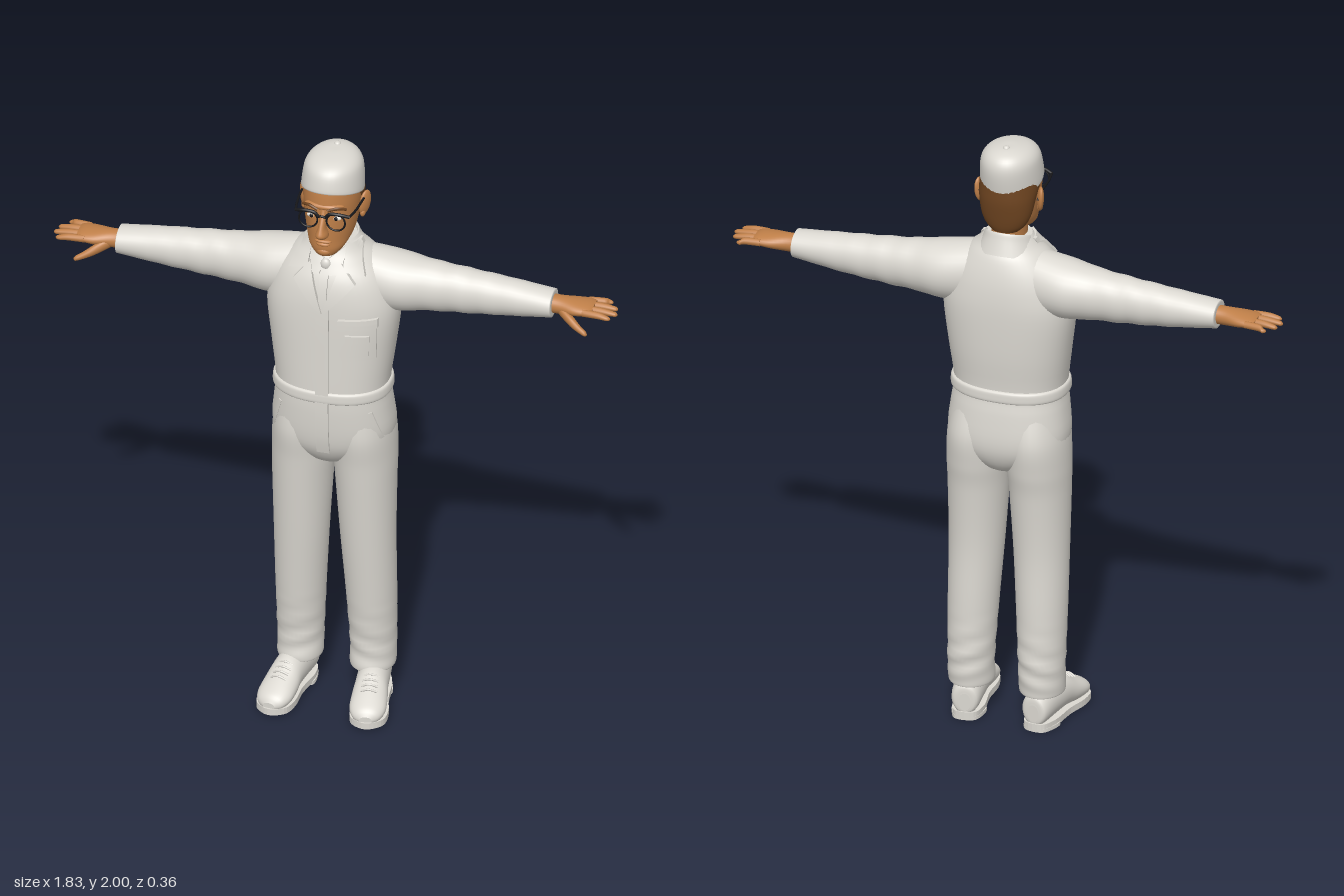
import * as THREE from 'three';

const paint = (name, color) => Object.assign(new THREE.MeshStandardMaterial({ color }), { name });

// Smooth (Catmull-Rom) resampling of rings [w, centreU, centreV, radiusU, radiusV, exponent]
function resample(rings, steps) {
  const out = [], at = i => rings[Math.min(Math.max(i, 0), rings.length - 1)];
  for (let i = 0; i < rings.length - 1; i++) {
    for (let s = 0; s < steps; s++) {
      const t = s / steps, [a, b, c, d] = [at(i - 1), at(i), at(i + 1), at(i + 2)];
      out.push(b.map((p, k) => 0.5 * (2 * p + (c[k] - a[k]) * t + (2 * a[k] - 5 * p + 4 * c[k] - d[k]) * t * t
        + (3 * p - a[k] - 3 * c[k] + d[k]) * t * t * t)));
    }
  }
  out.push(rings[rings.length - 1]);
  return out;
}

// Closed body through superellipse rings along an axis, with flat ends and an optional bending rule
function loft(rings, axis = 'y', { steps = 4, seg = 32, rule } = {}) {
  const full = resample(rings.map(r => [...r.slice(0, 5), r[5] ?? 2]), steps);
  const pos = [], idx = [];
  const put = (w, u, v) => {
    const p = axis === 'y' ? [u, w, v] : axis === 'x' ? [w, v, u] : [v, u, w];
    const q = new THREE.Vector3(...p);
    if (rule) rule(q);
    pos.push(q.x, q.y, q.z);
  };
  const ring = ([w, cu, cv, ru, rv, n]) => {
    for (let j = 0; j < seg; j++) {
      const c = Math.cos(j / seg * 2 * Math.PI), s = Math.sin(j / seg * 2 * Math.PI);
      put(w, cu + ru * Math.sign(c) * Math.abs(c) ** (2 / n), cv + rv * Math.sign(s) * Math.abs(s) ** (2 / n));
    }
  };
  full.forEach(ring);
  for (let i = 0; i < full.length - 1; i++) for (let j = 0; j < seg; j++) {
    const a = i * seg + j, b = i * seg + (j + 1) % seg;
    idx.push(a, a + seg, b, b, a + seg, b + seg);
  }
  for (const [r, end] of [[full[0], false], [full[full.length - 1], true]]) {
    const base = pos.length / 3;
    ring(r);
    put(r[0], r[1], r[2]);
    for (let j = 0; j < seg; j++) {
      const a = base + j, b = base + (j + 1) % seg;
      idx.push(base + seg, end ? b : a, end ? a : b);
    }
  }
  const g = new THREE.BufferGeometry();
  g.setAttribute('position', new THREE.Float32BufferAttribute(pos, 3));
  g.setIndex(idx);
  g.computeVertexNormals();
  return g;
}

function mirrored(geo) {
  const g = geo.clone().scale(-1, 1, 1);
  const ix = g.index.array;
  for (let i = 0; i < ix.length; i += 3) [ix[i], ix[i + 1]] = [ix[i + 1], ix[i]];
  return g;
}

const TORSO = [
  [0.87, 0, -0.035, 0.04, 0.05, 2], [0.9, 0, -0.035, 0.11, 0.1, 2], [0.95, 0, -0.033, 0.178, 0.132, 2.2],
  [1.01, 0, -0.03, 0.196, 0.144, 2.3], [1.1, 0, -0.022, 0.188, 0.143, 2.3], [1.17, 0, -0.017, 0.181, 0.138, 2.3],
  [1.3, 0, -0.024, 0.197, 0.143, 2.3], [1.44, 0, -0.028, 0.213, 0.144, 2.3], [1.52, 0, -0.029, 0.202, 0.139, 2.2],
  [1.58, 0, -0.031, 0.177, 0.126, 2.1], [1.63, 0, -0.036, 0.135, 0.104, 2], [1.66, 0, -0.036, 0.1, 0.085, 2],
  [1.69, 0, -0.036, 0.074, 0.07, 2],
];
const torsoFine = resample(TORSO, 6);

// Depth of the torso's front surface at x, y
function chest(x, y) {
  let i = torsoFine.findIndex(r => r[0] >= y);
  i = i < 1 ? torsoFine.length - 1 : i;
  const a = torsoFine[i - 1], b = torsoFine[i], t = THREE.MathUtils.clamp((y - a[0]) / (b[0] - a[0]), 0, 1);
  const [, , cz, rx, rz, n] = a.map((p, k) => p + (b[k] - p) * t);
  return cz + rz * Math.max(0, 1 - Math.abs(x / rx) ** n) ** (1 / n);
}

// Cloth panel laid on the chest; corners run bottom left, bottom right, top right, top left
function panel([a, b, c, d], thick) {
  const g = new THREE.BoxGeometry(1, 1, 1, 10, 16, 1), p = g.attributes.position;
  for (let i = 0; i < p.count; i++) {
    const u = p.getX(i) + 0.5, v = p.getY(i) + 0.5;
    const mix = k => (a[k] * (1 - u) + b[k] * u) * (1 - v) + (d[k] * (1 - u) + c[k] * u) * v;
    const x = mix(0), y = mix(1);
    p.setXYZ(i, x, y, chest(x, y) + (p.getZ(i) > 0 ? thick : -0.006));
  }
  g.computeVertexNormals();
  return g;
}
const rect = (x0, y0, x1, y1) => [[x0, y0], [x1, y0], [x1, y1], [x0, y1]];
const ball = (x, y, z, rx, ry, rz) => new THREE.SphereGeometry(1, 24, 16).scale(rx, ry, rz).translate(x, y, z);
const tube = (pts, r) => new THREE.TubeGeometry(
  new THREE.CatmullRomCurve3(pts.map(p => new THREE.Vector3(...p))), 16, r, 8);

export function createModel() {
  const model = new THREE.Group();
  const cloth = paint('off-white cloth', 0xdbd8d1), skin = paint('skin', 0xbf7f48);
  const hairColor = paint('brown hair', 0x6e4420), black = paint('black frame', 0x17171a), white = paint('eye white', 0xe8e2da);
  const add = (name, geo, mat) => {
    const m = new THREE.Mesh(geo, mat);
    m.name = name;
    model.add(m);
  };
  const both = (name, geo, mat) => { add(name + 'Left', geo, mat); add(name + 'Right', mirrored(geo), mat); };

  // Coverall body, waistband, legs and sleeves
  add('torso', loft(TORSO, 'y', { seg: 48 }), cloth);
  add('waistband', loft([[1.143, 0, -0.018, 0.18, 0.136, 2.3], [1.148, 0, -0.018, 0.19, 0.146, 2.3],
    [1.165, 0, -0.018, 0.191, 0.147, 2.3], [1.18, 0, -0.018, 0.188, 0.145, 2.3], [1.185, 0, -0.018, 0.178, 0.136, 2.3]],
  'y', { seg: 48 }), cloth);
  both('trouserLeg', loft([
    [0.115, 0.118, -0.055, 0.068, 0.078], [0.125, 0.118, -0.055, 0.073, 0.081], [0.2, 0.118, -0.06, 0.074, 0.08],
    [0.4, 0.114, -0.048, 0.081, 0.088], [0.6, 0.108, -0.035, 0.088, 0.096], [0.8, 0.103, -0.032, 0.096, 0.113],
    [0.9, 0.1, -0.035, 0.1, 0.126], [1, 0.098, -0.033, 0.097, 0.136], [1.1, 0.09, -0.025, 0.088, 0.12]],
  'y', { steps: 8, rule: p => {
    const fold = Math.max(0, 1 - Math.abs(p.y - 0.24) / 0.12);
    p.z += 0.006 * fold * Math.sin(p.y * 90 + p.x * 25);
  } }), cloth);
  both('sleeve', loft([
    [0.08, -0.045, 1.545, 0.085, 0.105], [0.2, -0.05, 1.533, 0.096, 0.098], [0.3, -0.053, 1.53, 0.077, 0.085],
    [0.4, -0.055, 1.528, 0.066, 0.077], [0.55, -0.055, 1.528, 0.059, 0.063], [0.69, -0.052, 1.53, 0.054, 0.046],
    [0.705, -0.052, 1.53, 0.052, 0.044], [0.708, -0.052, 1.53, 0.046, 0.038]], 'x', { steps: 6, rule: p => {
    p.y += 0.002 * Math.max(0, 1 - Math.abs(p.x - 0.42) / 0.25) * Math.sin(p.x * 70 + p.z * 30);
  } }), cloth);

  // Front fastening, lapels, shirt and tie
  add('placket', panel(rect(-0.02, 0.955, 0.022, 1.49), 0.007), cloth);
  add('tie', panel([[-0.012, 1.48], [0.012, 1.48], [0.014, 1.63], [-0.014, 1.63]], 0.007), cloth);
  add('tieKnot', ball(0, 1.628, chest(0, 1.628) + 0.004, 0.017, 0.02, 0.012), cloth);
  both('shirtCollar', panel([[0.016, 1.6], [0.05, 1.605], [0.06, 1.685], [0.008, 1.645]], 0.01), cloth);
  both('lapel', panel([[0, 1.475], [0.012, 1.48], [0.1, 1.575], [0.05, 1.635]], 0.014), cloth);
  both('collarWing', panel([[0.058, 1.615], [0.125, 1.595], [0.09, 1.68], [0.055, 1.685]], 0.014), cloth);
  add('collarStand', loft([[1.61, 0, -0.04, 0.11, 0.095], [1.66, 0, -0.036, 0.086, 0.082], [1.685, 0, -0.035, 0.076, 0.075],
    [1.685, 0, -0.035, 0.07, 0.069], [1.65, 0, -0.035, 0.062, 0.062]], 'y', { rule: p => { p.y -= (p.z + 0.035) * 0.36; } }), cloth);

  // Breast pocket with flap and pen slot, slanted hip pockets
  add('breastPocket', panel(rect(0.057, 1.31, 0.165, 1.45), 0.007), cloth);
  add('pocketFlap', panel([[0.052, 1.425], [0.17, 1.425], [0.17, 1.457], [0.052, 1.457]], 0.012), cloth);
  add('penPocket', panel(rect(0.078, 1.325, 0.145, 1.4), 0.011), cloth);
  add('penPocketFlap', panel([[0.075, 1.385], [0.148, 1.378], [0.148, 1.4], [0.075, 1.405]], 0.015), cloth);
  both('hipPocketWelt', panel([[0.172, 1], [0.181, 1.003], [0.151, 1.11], [0.141, 1.108]], 0.005), cloth);

  // Hands
  both('palm', loft([[0.68, -0.052, 1.53, 0.032, 0.03], [0.73, -0.052, 1.529, 0.034, 0.029], [0.78, -0.053, 1.53, 0.047, 0.024],
    [0.82, -0.055, 1.532, 0.049, 0.018], [0.838, -0.055, 1.532, 0.044, 0.012]], 'x'), skin);
  [[-0.095, -0.108, 0.885], [-0.068, -0.073, 0.91], [-0.041, -0.041, 0.917], [-0.015, -0.01, 0.902]].forEach(([z0, z1, tip], i) => {
    const mid = (z0 + z1) / 2;
    both('finger' + (i + 1), loft([[0.81, z0, 1.532, 0.011, 0.012], [0.86, mid, 1.532, 0.011, 0.011],
      [tip - 0.012, z1, 1.528, 0.009, 0.008], [tip - 0.003, z1, 1.527, 0.005, 0.005], [tip, z1, 1.527, 0.001, 0.001]],
    'x', { seg: 12 }), skin);
  });
  both('thumb', loft([[0.73, -0.035, 1.522, 0.014, 0.018], [0.775, -0.006, 1.503, 0.018, 0.018], [0.81, 0.014, 1.487, 0.012, 0.012],
    [0.828, 0.021, 1.48, 0.009, 0.009], [0.835, 0.023, 1.478, 0.002, 0.002]], 'x', { seg: 14 }), skin);

  // Shoes, turned slightly outwards
  const foot = g => g.rotateY(0.14).translate(0.133, 0, 0);
  const outline = pts => new THREE.Shape(new THREE.CatmullRomCurve3(
    pts.map(([x, z]) => new THREE.Vector3(x, -z, 0)), true).getPoints(48).map(p => new THREE.Vector2(p.x, p.y)));
  const slab = (pts, y, h) => foot(new THREE.ExtrudeGeometry(outline(pts), { depth: h, bevelEnabled: false })
    .rotateX(-Math.PI / 2).translate(0, y, 0));
  const indexed = g => { g.setIndex([...Array(g.attributes.position.count).keys()]); return g; };
  both('shoeUpper', foot(loft([
    [-0.132, 0.06, 0, 0.03, 0.02], [-0.12, 0.07, 0, 0.054, 0.044], [-0.04, 0.08, 0, 0.063, 0.05], [0.03, 0.076, 0, 0.058, 0.052],
    [0.08, 0.06, 0, 0.047, 0.057], [0.13, 0.048, 0, 0.035, 0.057], [0.162, 0.04, 0, 0.025, 0.043], [0.176, 0.034, 0, 0.012, 0.02]],
  'z')), cloth);
  both('shoeSole', indexed(slab([[0, 0.183], [0.05, 0.155], [0.062, 0.1], [0.052, 0.02], [0.05, -0.08], [0.03, -0.13],
    [-0.03, -0.13], [-0.05, -0.08], [-0.048, 0.02], [-0.058, 0.1], [-0.048, 0.155]], 0.006, 0.022)), cloth);
  both('shoeHeel', indexed(slab([[0.05, -0.045], [0.05, -0.09], [0.03, -0.13], [-0.03, -0.13], [-0.05, -0.09], [-0.05, -0.045]],
    0, 0.012)), cloth);
  for (let i = 0; i < 4; i++) {
    const z = 0.045 + i * 0.018, y = 0.127 - i * 0.008;
    both('lace' + (i + 1), foot(tube([[-0.026, y - 0.009, z], [0, y, z + 0.003], [0.026, y - 0.009, z]], 0.0035)), cloth);
  }

  // Neck and head
  add('neck', loft([[1.58, 0, -0.035, 0.064, 0.064], [1.68, 0, -0.032, 0.056, 0.06], [1.75, 0, -0.035, 0.062, 0.068]]), skin);
  add('head', loft([
    [1.668, 0, 0.07, 0.02, 0.02], [1.676, 0, 0.064, 0.036, 0.037], [1.7, 0, 0.045, 0.058, 0.062], [1.73, 0, 0.01, 0.073, 0.097],
    [1.77, 0, -0.003, 0.082, 0.11], [1.82, 0, -0.008, 0.089, 0.114], [1.87, 0, -0.01, 0.092, 0.113],
    [1.92, 0, -0.012, 0.088, 0.105], [1.95, 0, -0.015, 0.06, 0.07]], 'y', { seg: 40 }), skin);
  add('chin', ball(0, 1.69, 0.09, 0.025, 0.017, 0.02), skin);
  add('nose', loft([[1.75, 0, 0.108, 0.013, 0.018], [1.757, 0, 0.113, 0.02, 0.027], [1.769, 0, 0.116, 0.019, 0.033],
    [1.79, 0, 0.112, 0.012, 0.026], [1.825, 0, 0.102, 0.01, 0.013], [1.845, 0, 0.098, 0.008, 0.008]], 'y', { seg: 20 }), skin);
  add('upperLip', ball(0, 1.731, 0.102, 0.027, 0.006, 0.011), skin);
  add('lowerLip', ball(0, 1.719, 0.101, 0.022, 0.007, 0.011), skin);
  add('browRidge', ball(0, 1.853, 0.086, 0.066, 0.013, 0.022), skin);
  both('ear', ball(0, 0, 0, 0.011, 0.043, 0.025).rotateY(-0.45).rotateX(-0.12).rotateZ(-0.1).translate(0.1, 1.815, -0.025), skin);
  both('earLobe', ball(0.095, 1.782, -0.016, 0.009, 0.014, 0.012), skin);
  add('hair', loft([[1.715, 0, -0.07, 0.045, 0.036], [1.735, 0, -0.066, 0.066, 0.047], [1.77, 0, -0.06, 0.082, 0.06],
    [1.82, 0, -0.05, 0.091, 0.077], [1.86, 0, -0.03, 0.096, 0.097], [1.9, 0, -0.02, 0.094, 0.105]]), hairColor);

  // Eyes, brows and spectacles
  both('eye', ball(0.04, 1.815, 0.092, 0.016, 0.008, 0.007), white);
  both('pupil', ball(0.04, 1.815, 0.097, 0.006, 0.007, 0.004), black);
  both('eyebrow', tube([[0.016, 1.847, 0.109], [0.045, 1.856, 0.102], [0.07, 1.848, 0.085]], 0.005), hairColor);
  both('lensRim', new THREE.TorusGeometry(0.03, 0.003, 8, 32).translate(0.045, 1.815, 0.117), black);
  both('browBar', tube([[0.012, 1.828, 0.118], [0.025, 1.842, 0.119], [0.06, 1.844, 0.118], [0.088, 1.836, 0.11]], 0.0055), black);
  add('noseBridge', tube([[-0.016, 1.826, 0.118], [0, 1.832, 0.122], [0.016, 1.826, 0.118]], 0.004), black);
  both('temple', tube([[0.087, 1.837, 0.112], [0.096, 1.837, 0.06], [0.1, 1.836, -0.015], [0.097, 1.815, -0.045]], 0.004), black);

  // Soft cap, lower at the back, with a button on top
  add('cap', loft([
    [1.872, 0, -0.01, 0.094, 0.106], [1.872, 0, -0.01, 0.099, 0.112], [1.93, 0, -0.021, 0.095, 0.113],
    [1.962, 0, -0.028, 0.086, 0.103], [1.982, 0, -0.034, 0.064, 0.078], [1.992, 0, -0.04, 0.03, 0.037], [1.993, 0, -0.04, 0.002, 0.002]],
  'y', { seg: 40, rule: p => { p.y += (p.z + 0.01) * 0.29 * THREE.MathUtils.clamp((1.995 - p.y) / 0.123, 0, 1); } }), cloth);
  add('capButton', ball(0, 1.991, -0.062, 0.011, 0.009, 0.011), cloth);
  return model;
}
